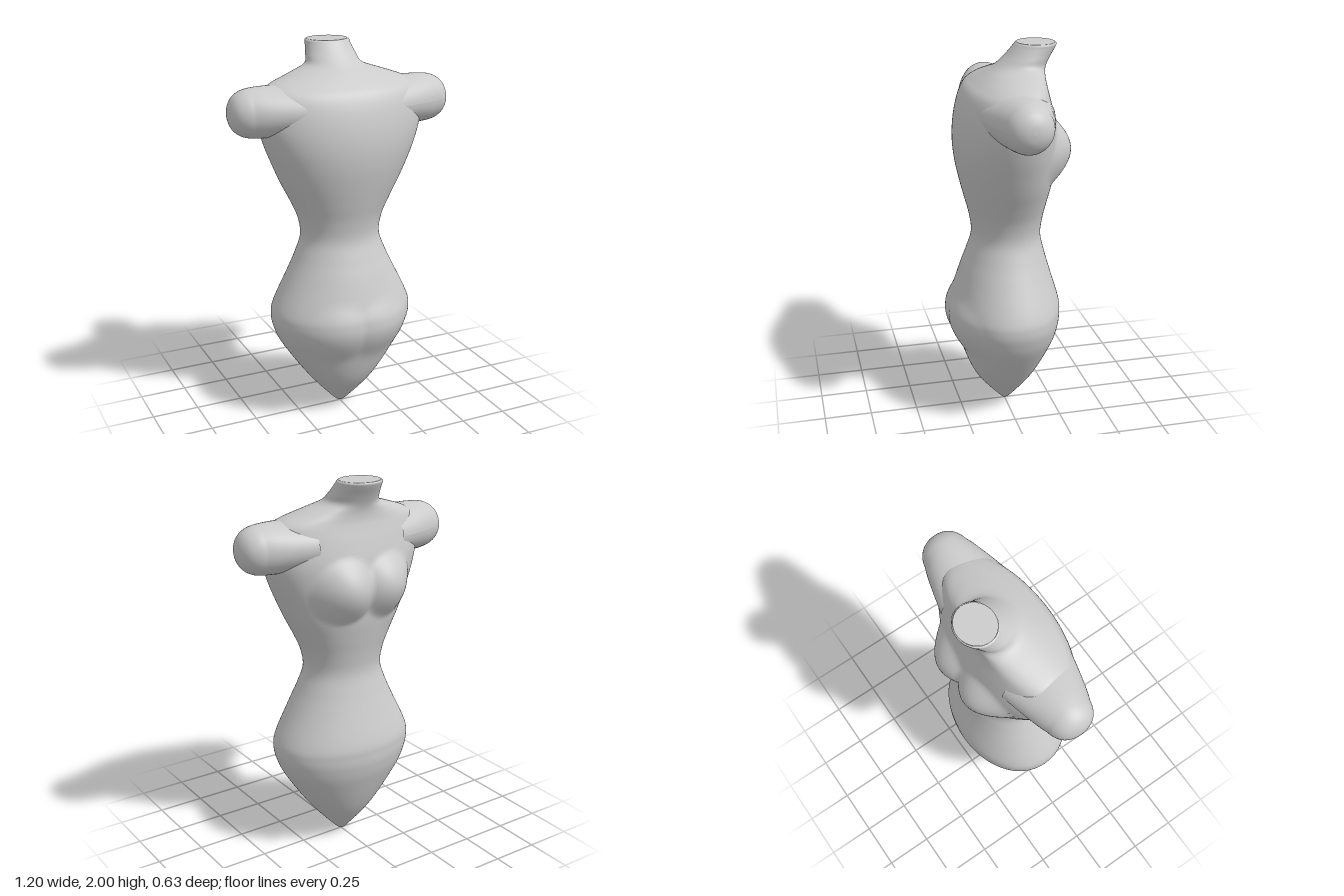
import * as THREE from 'three';

const material = new THREE.MeshStandardMaterial({ color: 0xcccccc });

// Torso outline: height, half width, z of the chest side, z of the back side
const RINGS = [
  [0.005, 0, 0, 0],
  [0.04, 0.045, -0.04, 0.04],
  [0.2, 0.185, -0.16, 0.17],
  [0.4, 0.325, -0.25, 0.25],
  [0.5, 0.372, -0.28, 0.285],
  [0.57, 0.385, -0.287, 0.295],
  [0.64, 0.37, -0.282, 0.288],
  [0.8, 0.292, -0.235, 0.24],
  [0.9, 0.245, -0.207, 0.205],
  [1.0, 0.212, -0.186, 0.176],
  [1.1, 0.226, -0.197, 0.185],
  [1.2, 0.27, -0.218, 0.21],
  [1.3, 0.322, -0.238, 0.235],
  [1.4, 0.367, -0.248, 0.255],
  [1.5, 0.408, -0.252, 0.263],
  [1.6, 0.437, -0.245, 0.255],
  [1.7, 0.44, -0.222, 0.232],
  [1.77, 0.42, -0.203, 0.2],
  [1.81, 0.365, -0.195, 0.155],
  [1.85, 0.25, -0.196, 0.1],
  [1.885, 0.152, -0.206, 0.05],
  [1.93, 0.13, -0.228, 0],
  [1.975, 0.118, -0.255, -0.04],
  [1.993, 0.115, -0.263, -0.055],
  [2.0, 0.107, -0.257, -0.063],
];

// Rounded mound, 1 at its middle and 0 from its rim outwards
function mound(x, y, cx, cy, rx, ry) {
  const d = ((Math.abs(x) - cx) / rx) ** 2 + ((y - cy) / ry) ** 2;
  return d < 1 ? Math.pow(1 - d, 1.2) : 0;
}

function torsoGeometry() {
  const curve = (k) => new THREE.CatmullRomCurve3(
    RINGS.map((r) => new THREE.Vector3(r[1], r[0], r[k])), false, 'catmullrom', 0.5);
  const chest = curve(2), back = curve(3);
  const rows = (RINGS.length - 1) * 6, cols = 128;
  const positions = [], index = [];
  for (let i = 0; i <= rows; i++) {
    const f = chest.getPoint(i / rows), b = back.getPoint(i / rows);
    const mid = (f.z + b.z) / 2, half = (b.z - f.z) / 2;
    for (let j = 0; j < cols; j++) {
      const a = (j / cols) * Math.PI * 2, c = Math.cos(a), s = Math.sin(a);
      const x = f.x * c, y = f.y;
      let z = mid + half * Math.sign(s) * Math.pow(Math.abs(s), 0.95);
      // Breasts on the -z side, buttocks on the +z side
      if (s < 0) z -= 0.078 * mound(x, y, 0.13, 1.465, 0.17, 0.17);
      else z += 0.027 * mound(x, y, 0.12, 0.52, 0.2, 0.17);
      positions.push(x, y, z);
      if (i < rows) {
        const p = i * cols + j, q = i * cols + ((j + 1) % cols);
        index.push(p, p + cols, q, q, p + cols, q + cols);
      }
    }
  }
  const g = new THREE.BufferGeometry();
  g.setAttribute('position', new THREE.Float32BufferAttribute(positions, 3));
  g.setIndex(index);
  g.computeVertexNormals();
  return g;
}

// Rounded arm stub along +x, widening in depth where it meets the torso
function shoulderGeometry() {
  const profile = new THREE.SplineCurve([
    [0.125, 0.25], [0.127, 0.4], [0.124, 0.48], [0.113, 0.53],
    [0.086, 0.57], [0.045, 0.593], [0, 0.6],
  ].map(([r, x]) => new THREE.Vector2(r, x)));
  const points = profile.getPoints(36);
  points.forEach((p) => { p.x = Math.max(p.x, 0); });
  const g = new THREE.LatheGeometry(points, 48);
  g.rotateZ(-Math.PI / 2);
  const pos = g.attributes.position;
  for (let i = 0; i < pos.count; i++) {
    pos.setZ(i, pos.getZ(i) * (1 + 2.2 * Math.max(0, 0.5 - pos.getX(i))));
  }
  g.computeVertexNormals();
  return g;
}

export function createModel() {
  const model = new THREE.Group();
  model.name = 'torsoForm';
  const add = (name, geometry) => {
    const mesh = new THREE.Mesh(geometry, material);
    mesh.name = name;
    model.add(mesh);
    return mesh;
  };

  add('torso', torsoGeometry());

  // Flat top of the neck
  const cap = add('neckCap', new THREE.CircleGeometry(1, 64));
  cap.rotation.x = -Math.PI / 2;
  cap.scale.set(0.107, 0.097, 1);
  cap.position.set(0, 2, -0.16);

  // Shoulder stubs
  const shoulder = shoulderGeometry();
  add('leftShoulder', shoulder).position.y = 1.685;
  const right = add('rightShoulder', shoulder);
  right.position.y = 1.685;
  right.rotation.y = Math.PI;

  return model;
}
